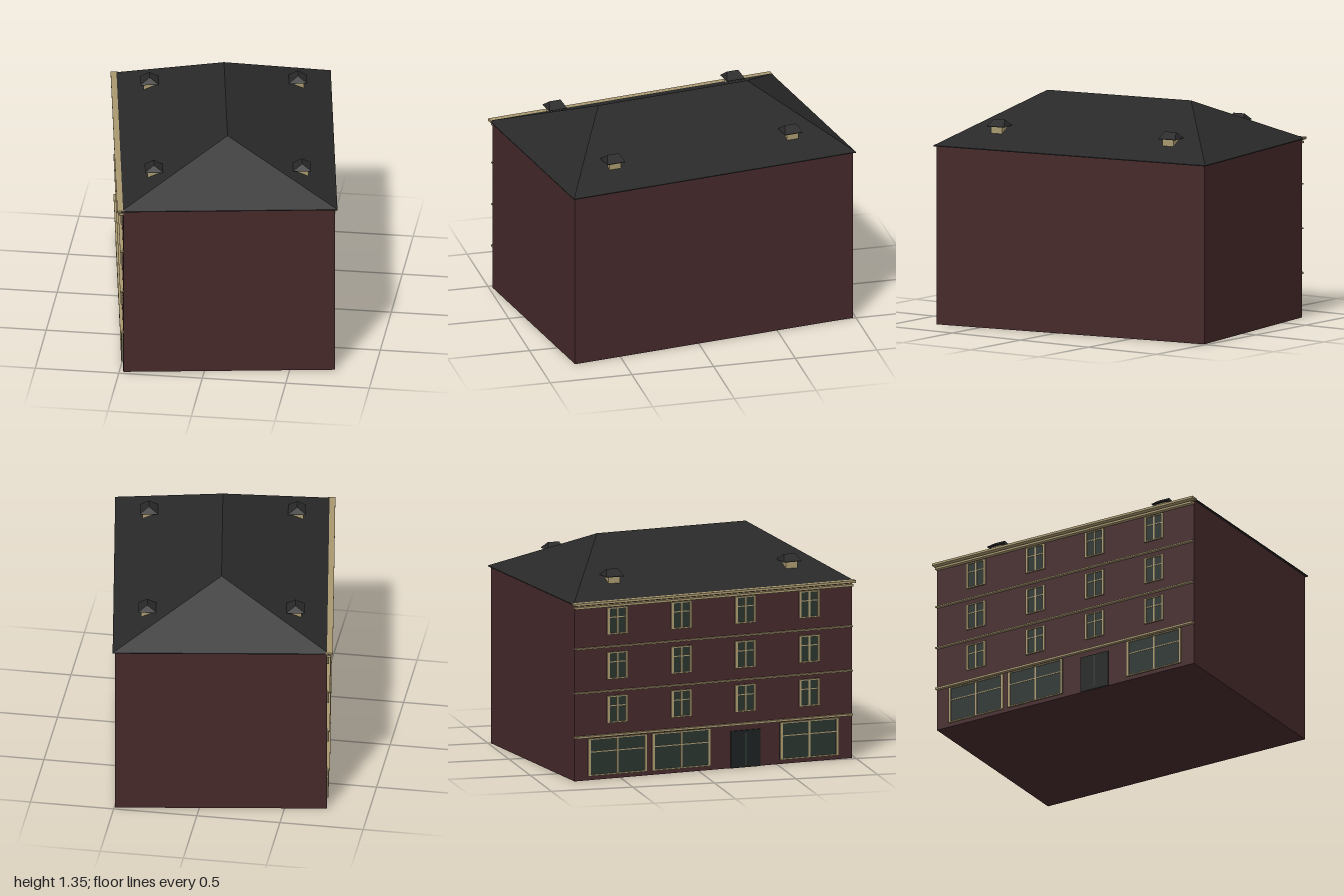
import * as THREE from 'three';
import { ConvexGeometry } from 'three/addons/geometries/ConvexGeometry.js';

const mat = (name, color) => {
  const m = new THREE.MeshStandardMaterial({ color });
  m.name = name;
  return m;
};

export function createModel() {
  const brick = mat('dark brick', 0x452829);
  const slate = mat('slate', 0x292929);
  const stone = mat('sandstone', 0xa8986f);
  const glass = mat('window glass', 0x29332f);
  const paint = mat('door paint', 0x1d2020);

  const W = 0.628, D = 0.896;          // half width and half length of the walls
  const eave = 1.074, apex = 1.354;
  const columns = [-0.62, -0.207, 0.207, 0.62];

  const model = new THREE.Group();
  model.name = 'townhouse';
  const house = new THREE.Group();
  house.name = 'building';
  house.rotation.y = 0.1524;
  house.position.set(0.009, 0, -0.002);
  model.add(house);

  const add = (parent, name, geometry, material) => {
    const mesh = new THREE.Mesh(geometry, material);
    mesh.name = name;
    parent.add(mesh);
    return mesh;
  };

  // Box given by its limits on each axis
  const block = (parent, name, material, x0, x1, y0, y1, z0, z1) => {
    const mesh = add(parent, name, new THREE.BoxGeometry(x1 - x0, y1 - y0, z1 - z0), material);
    mesh.position.set((x0 + x1) / 2, (y0 + y1) / 2, (z0 + z1) / 2);
    return mesh;
  };

  // Strip on the street face, standing out from the wall by depth
  const onFacade = (parent, name, material, depth, y0, y1, z0, z1) =>
    block(parent, name, material, -W - depth, -W + 0.002, y0, y1, z0, z1);

  // Hipped roof with its ridge along z and a thin eave edge
  const hipRoof = (w, d, ridge, height, edge) => {
    const points = [];
    for (const s of [-1, 1]) {
      for (const t of [-1, 1])
        for (const y of [-edge, 0]) points.push(new THREE.Vector3(s * w, y, t * d));
      points.push(new THREE.Vector3(0, height, s * ridge));
    }
    return new ConvexGeometry(points);
  };

  // Walls and main roof
  block(house, 'walls', brick, -W, W, 0, eave - 0.004, -D, D);
  add(house, 'roof', hipRoof(0.643, 0.909, 0.48, apex - eave, 0.005), slate).position.y = eave;

  // Cornice and string courses along the street face
  block(house, 'upperCornice', stone, -0.664, -0.62, 1.066, 1.08, -0.909, 0.909);
  onFacade(house, 'lowerCornice', stone, 0.024, 1.043, 1.056, -D, D);
  for (const [y, h] of [[0.8, 0.008], [0.532, 0.008], [0.265, 0.012]])
    onFacade(house, 'stringCourse', stone, 0.019, y - h / 2, y + h / 2, -D, D);

  // Framed window with a central mullion and a transom
  const makeWindow = (name, z, half, y0, y1, transom, t) => {
    const g = new THREE.Group();
    g.name = name;
    house.add(g);
    onFacade(g, 'pane', glass, 0.003, y0, y1, z - half, z + half);
    for (const s of [-1, 1]) {
      const c = z + s * (half - t / 2);
      onFacade(g, 'jamb', stone, 0.01, y0, y1, c - t / 2, c + t / 2);
    }
    onFacade(g, 'sill', stone, 0.01, y0, y0 + 0.007, z - half, z + half);
    onFacade(g, 'head', stone, 0.01, y1 - 0.007, y1, z - half, z + half);
    onFacade(g, 'mullion', stone, 0.006, y0, y1, z - 0.005, z + 0.005);
    onFacade(g, 'transom', stone, 0.006, transom - 0.003, transom + 0.003, z - half, z + half);
  };

  // Three upper storeys of four windows
  for (const y of [0.337, 0.602, 0.872])
    for (const z of columns) makeWindow('sashWindow', z, 0.066, y, y + 0.164, y + 0.104, 0.014);

  // Ground floor: shop windows and a door
  columns.forEach((z, i) => {
    if (i !== 2) makeWindow('shopWindow', z, 0.19, 0.025, 0.252, 0.17, 0.016);
  });
  onFacade(house, 'door', paint, 0.008, 0, 0.225, columns[2] - 0.095, columns[2] + 0.095);
  onFacade(house, 'doorSplit', glass, 0.01, 0.01, 0.215, columns[2] - 0.006, columns[2] + 0.006);

  // Four roof dormers
  for (const x of [-0.44, 0.44])
    for (const z of [-0.573, 0.573]) {
      const g = new THREE.Group();
      g.name = 'dormer';
      g.position.set(x, 1.19, z);
      house.add(g);
      block(g, 'dormerBox', stone, -0.037, 0.037, -0.09, 0, -0.037, 0.037);
      add(g, 'dormerRoof', hipRoof(0.053, 0.057, 0.036, 0.038, 0.003), slate);
    }

  return model;
}
